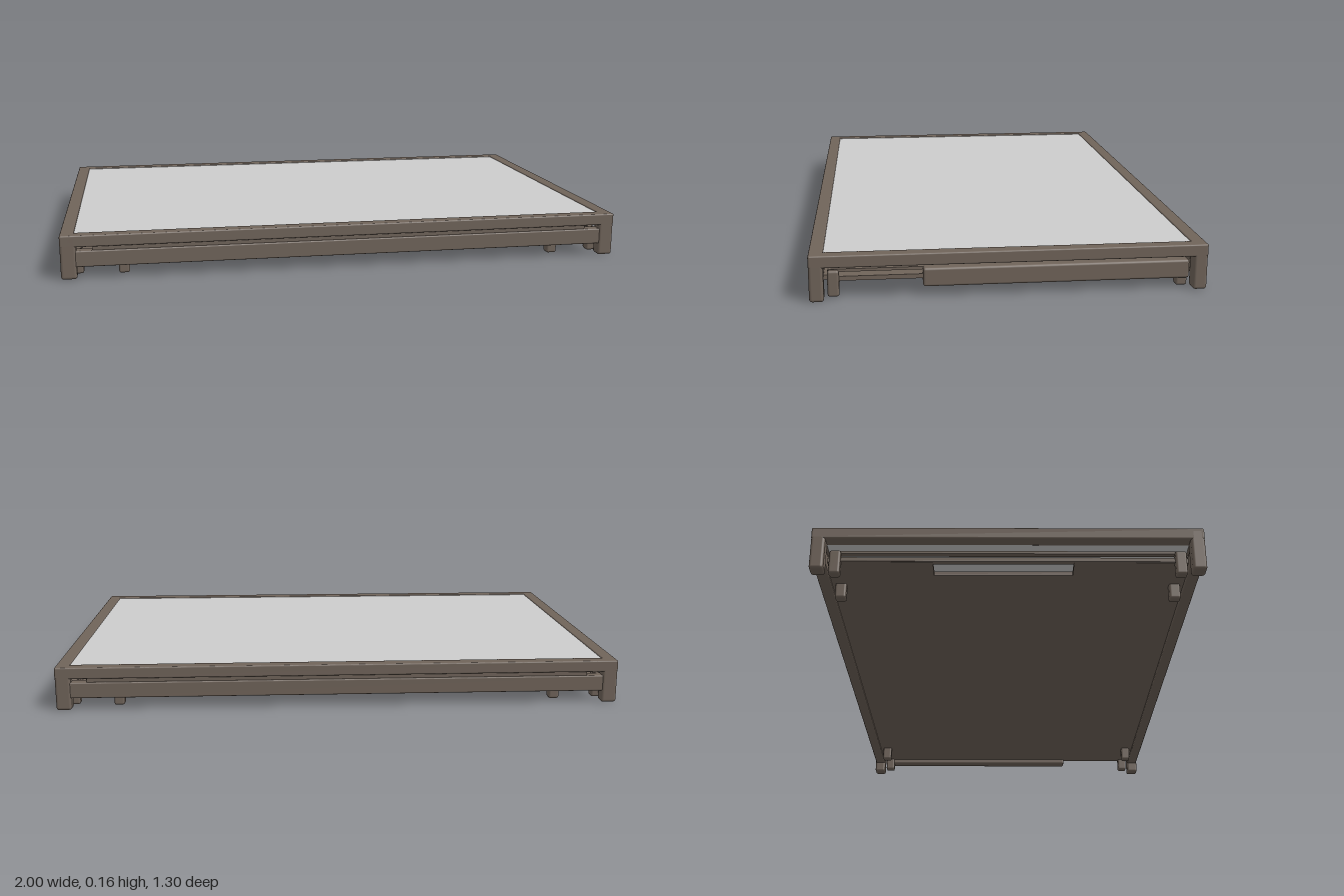
import * as THREE from 'three';
import { RoundedBoxGeometry } from 'three/addons/geometries/RoundedBoxGeometry.js';

export function createModel() {
  const model = new THREE.Group();
  model.name = 'lowTable';
  const brown = new THREE.MeshStandardMaterial({ color: 0x70645a });
  brown.name = 'brown frame';
  const white = new THREE.MeshStandardMaterial({ color: 0xcdcdcd });
  white.name = 'pale top';

  // Box given by its minimum and maximum on each axis
  function block(name, [x0, x1], [y0, y1], [z0, z1], radius = 0.005, material = brown) {
    const size = [x1 - x0, y1 - y0, z1 - z0];
    const geometry = radius
      ? new RoundedBoxGeometry(...size, 2, radius)
      : new THREE.BoxGeometry(...size);
    const mesh = new THREE.Mesh(geometry, material);
    mesh.name = name;
    mesh.position.set((x0 + x1) / 2, (y0 + y1) / 2, (z0 + z1) / 2);
    model.add(mesh);
  }
  // Mirrored range on one axis
  const span = (s, a, b) => (s > 0 ? [a, b] : [-b, -a]);

  // Inset table top
  block('tableTop', [-0.955, 0.955], [0.116, 0.151], [-0.605, 0.605], 0, white);

  for (const s of [1, -1]) {
    // Upper frame
    block('longRail', [-0.999, 0.999], [0.114, 0.155], span(s, 0.603, 0.65));
    block('shortRail', span(s, 0.953, 1), [0.114, 0.155], [-0.649, 0.649]);
    // Apron below the long rails, with a recessed spacer between
    block('apron', [-0.96, 0.96], [0.043, 0.1], span(s, 0.605, 0.647));
    block('spacer', [-0.89, 0.89], [0.098, 0.116], span(s, 0.608, 0.642), 0);
    // Corner legs and inner feet
    for (const t of [1, -1]) {
      block('cornerLeg', span(t, 0.945, 1), [0, 0.154], span(s, 0.603, 0.65), 0.01);
      block('innerFoot', span(t, 0.925, 0.962), [0.004, 0.092], span(s, 0.555, 0.593), 0.008);
      block('smallFoot', span(t, 0.768, 0.806), [0, 0.075], span(s, 0.555, 0.593), 0.008);
    }
    // Thin side runners
    block('upperRunner', span(s, 0.93, 0.95), [0.085, 0.095], [-0.59, 0.59], 0);
    block('lowerRunner', span(s, 0.93, 0.95), [0.055, 0.07], [-0.59, 0.59], 0);
  }

  // Lower shelf
  block('shelf', [-0.86, 0.93], [0.054, 0.07], [-0.61, 0.61], 0);
  block('shelfBackEdge', [-0.945, -0.855], [0.054, 0.07], [-0.6, -0.25], 0);
  block('shelfFrontEdge', [-0.945, -0.855], [0.054, 0.07], [0.22, 0.6], 0);
  // Supports between shelf and top
  block('middleSupport', [0.86, 0.9], [0.068, 0.117], [-0.27, 0.29], 0);
  block('rearSupport', [0.86, 0.9], [0.068, 0.117], [-0.6, -0.49], 0);
  // Heavy rail on one side only
  block('sideRail', [0.93, 0.978], [0.034, 0.097], [-0.595, 0.285], 0.008);

  return model;
}
